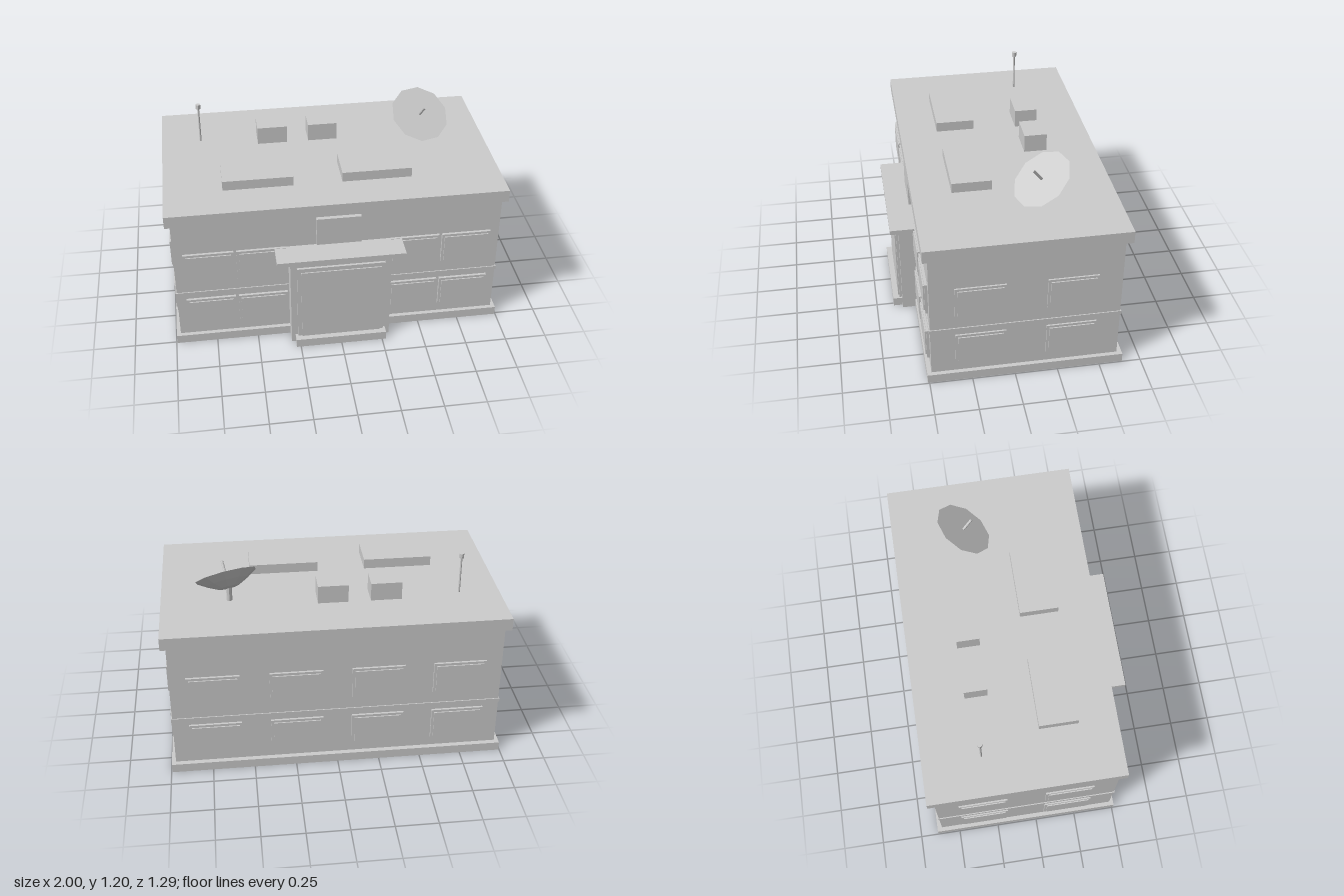
import * as THREE from 'three';

export function createModel() {
  const group = new THREE.Group();
  const grey = new THREE.MeshStandardMaterial({ color: 0xcccccc, flatShading: true });
  grey.name = 'plain grey';

  const add = (name, geometry, parent = group) => {
    const mesh = new THREE.Mesh(geometry, grey);
    mesh.name = name;
    parent.add(mesh);
    return mesh;
  };
  // box given by its limits on each axis
  const box = (name, x0, x1, y0, y1, z0, z1, parent) => {
    const mesh = add(name, new THREE.BoxGeometry(x1 - x0, y1 - y0, z1 - z0), parent);
    mesh.position.set((x0 + x1) / 2, (y0 + y1) / 2, (z0 + z1) / 2);
    return mesh;
  };
  const rectangle = (path, x, z0, z1) => {
    path.moveTo(-x, -z0);
    path.lineTo(-x, -z1);
    path.lineTo(x, -z1);
    path.lineTo(x, -z0);
    path.closePath();
    return path;
  };

  // Main block, floor band and roof slab
  box('walls', -0.97, 0.97, 0.04, 0.87, -0.61, 0.485);
  box('floorBand', -0.976, 0.976, 0.347, 0.37, -0.616, 0.491);
  box('roofSlab', -1, 1, 0.865, 0.94, -0.645, 0.515);

  // Base kerb, a ring that leaves the floor recessed
  const kerb = rectangle(new THREE.Shape(), 0.995, -0.64, 0.51);
  kerb.holes.push(rectangle(new THREE.Path(), 0.968, -0.608, 0.483));
  const kerbMesh = add('baseKerb', new THREE.ExtrudeGeometry(kerb, { depth: 0.055, bevelEnabled: false }));
  kerbMesh.rotation.x = -Math.PI / 2;

  // Entrance
  box('entrancePorch', -0.3, 0.3, 0, 0.62, 0.38, 0.59);
  box('entranceStep', -0.277, 0.273, 0, 0.055, 0.5, 0.645);
  box('entranceCanopy', -0.38, 0.375, 0.62, 0.648, 0.4, 0.645);
  box('doorFrame', -0.262, 0.262, 0.055, 0.563, 0.58, 0.605);
  box('doorPanel', -0.238, 0.238, 0.055, 0.537, 0.6, 0.612);
  box('wallPanel', -0.133, 0.13, 0.66, 0.84, 0.47, 0.51);

  // Windows: a raised frame with a smaller pane, facing +z before turning
  const addWindow = (x, y, z, width, turn, depth) => {
    const win = new THREE.Group();
    win.name = 'window';
    const w = width / 2;
    box('windowFrame', -w, w, -0.1, 0.1, -0.01, depth, win);
    box('windowPane', -w + 0.015, w - 0.015, -0.085, 0.085, 0, depth + 0.007, win);
    win.position.set(x, y, z);
    win.rotation.y = turn;
    group.add(win);
  };
  for (const y of [0.22, 0.55]) {
    for (const side of [-1, 1]) {
      for (const x of [0.457, 0.768]) addWindow(side * x, y, 0.485, 0.295, 0, 0.016);
      for (const x of [0.24, 0.72]) addWindow(side * x, y, -0.61, 0.31, Math.PI, 0.014);
      for (const z of [0.197, -0.327]) addWindow(side * 0.97, y, z, 0.292, side * Math.PI / 2, 0.01);
    }
  }

  // Rooftop units
  box('roofUnit', -0.655, -0.24, 0.93, 1.0, 0.052, 0.285);
  box('roofUnit', 0.05, 0.465, 0.93, 1.0, 0.052, 0.285);
  box('roofVent', -0.408, -0.225, 0.93, 1.05, -0.347, -0.21);
  box('roofVent', -0.093, 0.087, 0.93, 1.05, -0.347, -0.21);

  // Antenna
  add('antennaMast', new THREE.CylinderGeometry(0.006, 0.006, 0.24, 8)).position.set(-0.76, 1.06, -0.3);
  add('antennaTip', new THREE.CylinderGeometry(0.015, 0.015, 0.028, 8)).position.set(-0.76, 1.182, -0.3);

  // Satellite dish: its local y axis is the direction it points
  add('dishPost', new THREE.CylinderGeometry(0.017, 0.017, 0.1, 8)).position.set(0.598, 0.98, -0.247);
  const dish = new THREE.Group();
  dish.name = 'satelliteDish';
  const profile = [[0, -0.08], [0.06, -0.07], [0.125, -0.038], [0.186, 0], [0, 0]];
  add('dishBowl', new THREE.LatheGeometry(profile.map(([x, y]) => new THREE.Vector2(x, y)), 10), dish);
  add('dishFeed', new THREE.CylinderGeometry(0.008, 0.008, 0.1, 8), dish).position.y = 0.04;
  dish.position.set(0.612, 1.078, -0.205);
  dish.quaternion.setFromUnitVectors(new THREE.Vector3(0, 1, 0), new THREE.Vector3(0.2, 0.79, 0.58).normalize());
  group.add(dish);

  return group;
}
